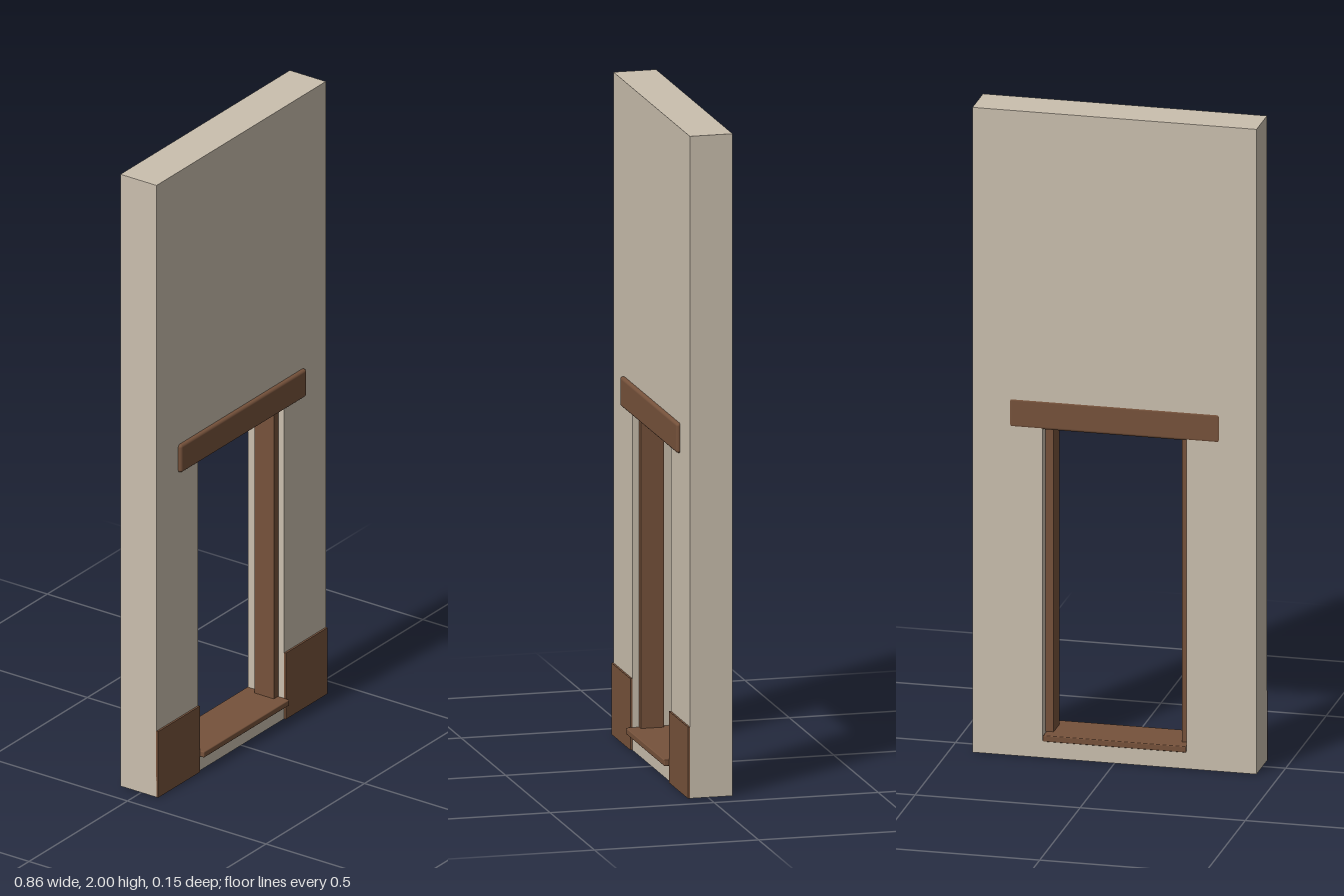
import * as THREE from 'three';
import { RoundedBoxGeometry } from 'three/addons/geometries/RoundedBoxGeometry.js';

export function createModel() {
  const model = new THREE.Group();
  model.name = 'wallWithDoorway';

  const plaster = new THREE.MeshStandardMaterial({ color: 0xcabfae });
  plaster.name = 'plaster';
  const wood = new THREE.MeshStandardMaterial({ color: 0x76523b });
  wood.name = 'brown wood';

  const add = (name, geometry, material) => {
    const mesh = new THREE.Mesh(geometry, material);
    mesh.name = name;
    model.add(mesh);
    return mesh;
  };

  // Block given by its lower and upper bounds, with optional rounded edges
  const block = (name, [x0, x1], [y0, y1], [z0, z1], radius = 0) => {
    const size = [x1 - x0, y1 - y0, z1 - z0];
    const geometry = radius
      ? new RoundedBoxGeometry(...size, 2, radius)
      : new THREE.BoxGeometry(...size);
    geometry.translate((x0 + x1) / 2, (y0 + y1) / 2, (z0 + z1) / 2);
    return add(name, geometry, wood);
  };

  // Wall slab with the doorway cut through it
  const outline = new THREE.Shape([
    new THREE.Vector2(-0.43, 0), new THREE.Vector2(0.43, 0),
    new THREE.Vector2(0.43, 2), new THREE.Vector2(-0.43, 2),
  ]);
  outline.holes.push(new THREE.Path([
    new THREE.Vector2(-0.218, 0.053), new THREE.Vector2(-0.218, 1.03),
    new THREE.Vector2(0.218, 1.03), new THREE.Vector2(0.218, 0.053),
  ]));
  const wall = new THREE.ExtrudeGeometry(outline, { depth: 0.13, bevelEnabled: false });
  wall.translate(0, 0, -0.075);
  add('wall', wall, plaster);

  // Lintel beam passing through the wall
  block('lintel', [-0.32, 0.32], [1.017, 1.108], [-0.0765, 0.066], 0.009);

  // Threshold at the foot of the opening
  block('threshold', [-0.217, 0.217], [0.05, 0.069], [-0.0765, 0.0755], 0.003);

  // Jambs and base panels on both sides
  for (const [side, s] of [['left', 1], ['right', -1]]) {
    const span = (a, b) => (s > 0 ? [a, b] : [-b, -a]);
    block(side + 'Jamb', span(0.194, 0.218), [0.068, 1.02], [-0.035, 0.035]);
    block(side + 'BasePanel', span(0.218, 0.43), [0, 0.216], [0.054, 0.061]);
  }

  return model;
}
